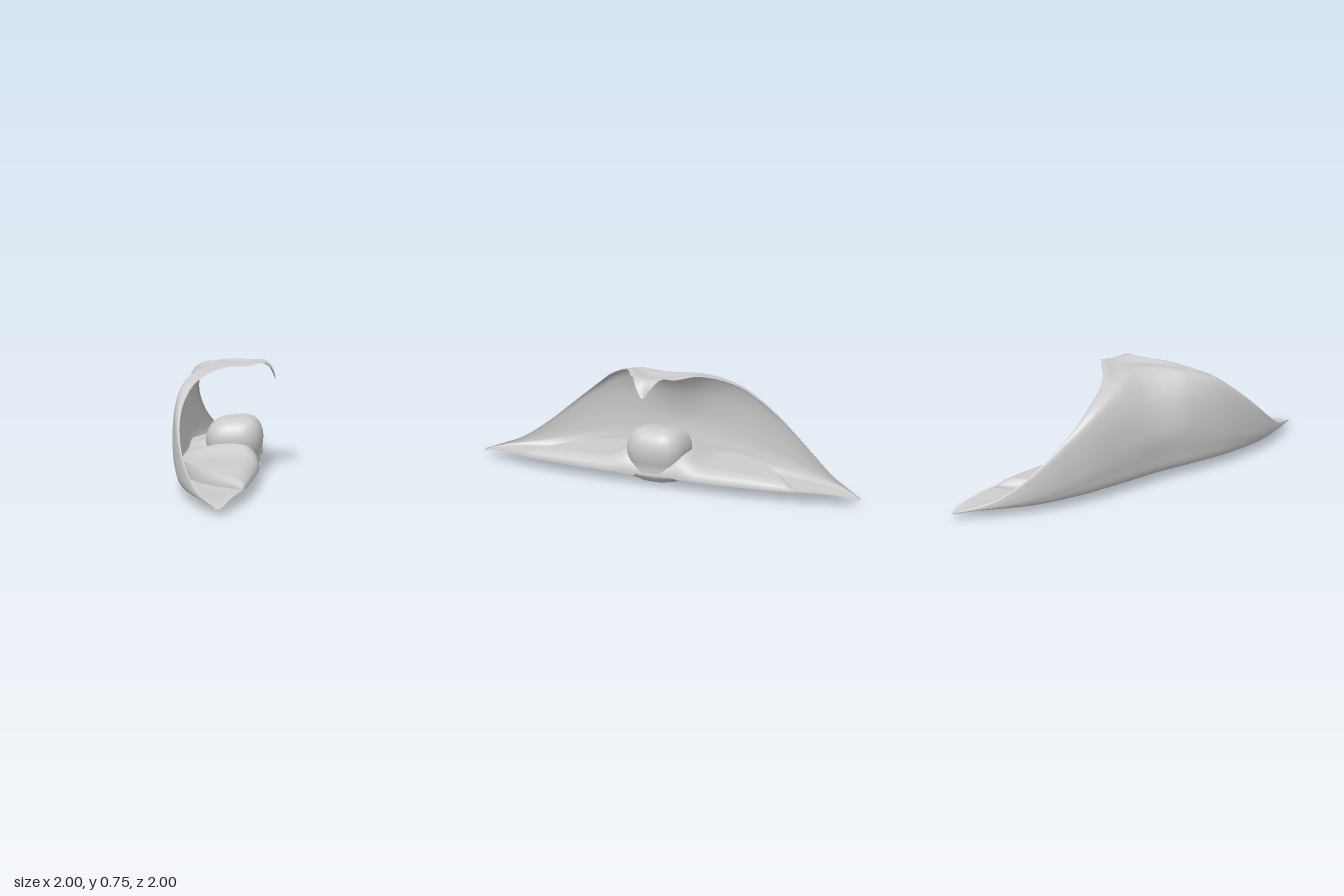
import * as THREE from 'three';
import { ParametricGeometry } from 'three/addons/geometries/ParametricGeometry.js';

const LENGTH = 1.405;

// Smooth interpolation through [position, value] pairs, mirrored about position 0.
function profile(points) {
  const slope = points.map((p, i) => {
    if (i === 0) return 0;
    const a = points[i - 1], b = points[Math.min(i + 1, points.length - 1)];
    return (b[1] - a[1]) / (b[0] - a[0]);
  });
  return (position) => {
    const s = Math.min(Math.abs(position), points[points.length - 1][0]);
    let i = 0;
    while (i < points.length - 2 && s > points[i + 1][0]) i++;
    const [x0, y0] = points[i], [x1, y1] = points[i + 1];
    const d = x1 - x0, t = (s - x0) / d, t2 = t * t, t3 = t2 * t;
    return y0 * (2 * t3 - 3 * t2 + 1) + slope[i] * d * (t3 - 2 * t2 + t)
      + y1 * (3 * t2 - 2 * t3) + slope[i + 1] * d * (t3 - t2);
  };
}

// Half-length profiles: local x is the long axis, local z points to the wall side.
const frontEdge = profile([[0, -0.2], [0.15, -0.195], [0.34, -0.205], [0.74, -0.178], [1.02, -0.14], [1.22, -0.085], [1.36, -0.04], [1.405, -0.012]]);
const wallSide = profile([[0, 0.335], [0.25, 0.345], [0.53, 0.345], [0.75, 0.315], [0.9, 0.28], [1.06, 0.22], [1.25, 0.12], [1.36, 0.045], [1.405, 0.012]]);
const rimDepth = profile([[0, -0.3], [0.06, -0.28], [0.11, -0.215], [0.16, -0.14], [0.26, 0.02], [0.4, 0.163], [0.59, 0.255],
  [0.75, 0.275], [0.93, 0.25], [1.1, 0.19], [1.25, 0.11], [1.36, 0.04], [1.405, 0.011]]);
const rimHeight = profile([[0, 0.63], [0.05, 0.69], [0.1, 0.75], [0.16, 0.735], [0.26, 0.735], [0.4, 0.685], [0.5, 0.635], [0.59, 0.57],
  [0.75, 0.445], [0.86, 0.355], [1.0, 0.24], [1.16, 0.13], [1.28, 0.085], [1.405, 0.045]]);
const crestHeight = profile([[0, 0.755], [0.16, 0.75], [0.26, 0.737], [0.4, 0.69], [0.5, 0.64], [0.59, 0.575],
  [0.75, 0.45], [0.86, 0.36], [1.0, 0.245], [1.16, 0.133], [1.28, 0.086], [1.405, 0.046]]);
const floorHeight = profile([[0, 0.05], [0.9, 0.05], [1.2, 0.058], [1.32, 0.052], [1.405, 0.035]]);

const mix = THREE.MathUtils.lerp;

// Floor, rising wall and overhanging hood in one cross-section.
function scoopSection(s) {
  const front = frontEdge(s), side = wallSide(s), base = floorHeight(s);
  const rim = rimDepth(s), top = crestHeight(s);
  const overhang = Math.min(1, (side - rim) / 0.6);
  const up = (k) => mix(base, top, k);
  const across = (k) => mix(side, rim, k);
  return new THREE.CatmullRomCurve3([
    [front, base + 0.025 * Math.min(1, (LENGTH - Math.abs(s)) * 3)],
    [mix(front, side, 0.3), base],
    [mix(front, side, 0.7), base],
    [side * 0.87, mix(base, top, 0.04)],
    [side * 0.97, up(0.22)],
    [side, up(0.48)],
    [across(0.12), up(0.78)],
    [across(0.38), up(0.94 + 0.03 * overhang)],
    [across(0.68), up(0.995 - 0.025 * overhang)],
    [across(0.9), mix(top, rimHeight(s), 0.15)],
    [rim, rimHeight(s)],
  ].map(([z, y]) => new THREE.Vector3(s, y, z)));
}

function makeScoop() {
  const cache = new Map();
  return new ParametricGeometry((u, v, target) => {
    const a = u * 2 - 1;
    const s = Math.sign(a) * LENGTH * Math.pow(Math.min(1, Math.abs(a)), 1.25);
    if (!cache.has(s)) cache.set(s, scoopSection(s));
    cache.get(s).getPoint(Math.min(1, Math.max(0, v)), target);
    // keel under the central lump
    const low = Math.min(1, Math.max(0, (0.16 - target.y) / 0.1));
    target.y -= 0.046 * low * Math.exp(-((s / 0.2) ** 4) - ((target.z + 0.01) / 0.18) ** 4);
  }, 140, 60);
}

// Raised fleshy layer lying on the floor, ending in a slanted, curved lip.
const lipReach = (v) => mix(1.03, 0.64, v) - 0.2 * v ** 6 + 0.03 * Math.sin(Math.PI * v);
function makeFlap() {
  return new ParametricGeometry((u, v, target) => {
    const a = u * 2 - 1;
    const s = a * lipReach(v);
    const z = mix(frontEdge(s), wallSide(s) * 0.86, v);
    const edge = Math.sqrt(Math.max(0, 1 - Math.max(0, 1 - v / 0.2) ** 2));
    const lip = Math.min(1, Math.max(0, (1 - Math.abs(a)) * 16));
    const thick = mix(0.098, 0.045, Math.abs(s) ** 4 * (1 - v));
    const swell = 0.07 * Math.exp(-((Math.abs(s) - 0.19) ** 2) / 0.012) * Math.sin(Math.PI * Math.max(0, v) ** 0.7);
    target.set(s, mix(0.056, 0.075, 1 - v) + (thick * edge * (0.8 + 0.2 * v) + swell) * Math.sqrt(lip), z);
  }, 120, 30);
}

// Rounded, boxy central lump with a narrower waist.
function makeLump() {
  const geometry = new THREE.SphereGeometry(1, 48, 32);
  const p = geometry.attributes.position;
  const soften = (c) => Math.sign(c) * Math.abs(c) ** 0.72;
  for (let i = 0; i < p.count; i++) {
    const x = soften(p.getX(i)), y = soften(p.getY(i)), z = soften(p.getZ(i));
    const waist = 1 - 0.1 * Math.exp(-((y + 0.35) ** 2) / 0.08);
    const dip = 0.012 * Math.exp(-(x * x) / 0.15) * Math.max(0, y);
    p.setXYZ(i, x * 0.21 * waist, 0.195 + y * 0.193 - dip - 0.02 * z * Math.max(0, y), -0.025 + z * 0.195 * waist);
  }
  geometry.computeVertexNormals();
  return geometry;
}

export function createModel() {
  const model = new THREE.Group();
  model.name = 'curledShell';
  const body = new THREE.Group();
  body.name = 'body';
  body.rotation.y = -Math.PI / 4; // long axis on the diagonal
  model.add(body);

  const material = new THREE.MeshStandardMaterial({ color: 0xcccccc, side: THREE.DoubleSide });
  const add = (name, geometry) => {
    const mesh = new THREE.Mesh(geometry, material);
    mesh.name = name;
    body.add(mesh);
  };
  add('hoodedScoop', makeScoop());
  add('innerFlap', makeFlap());
  add('centralLump', makeLump());
  return model;
}
